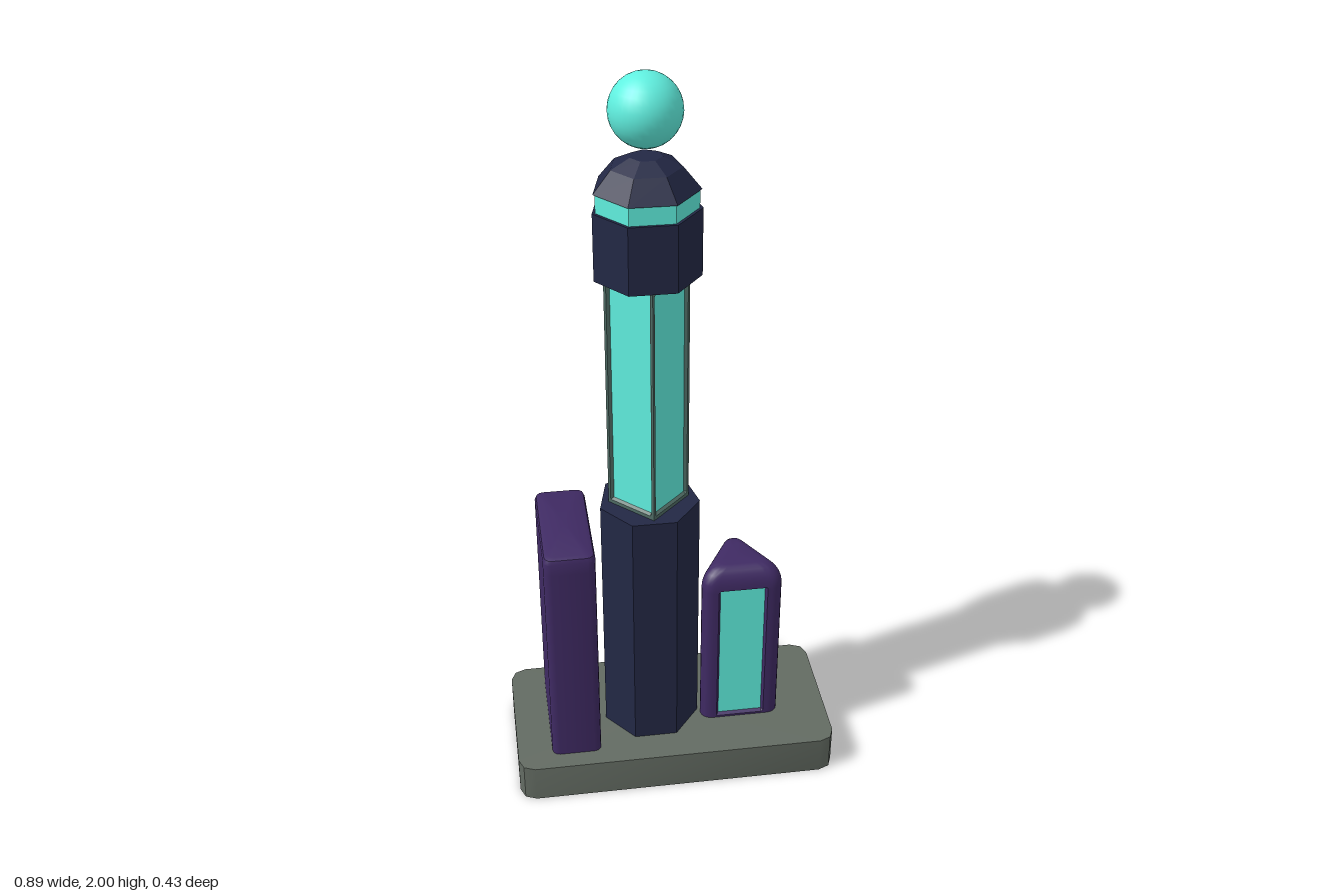
import * as THREE from 'three';
import { toCreasedNormals } from 'three/addons/utils/BufferGeometryUtils.js';

const material = (color, flatShading = false) => new THREE.MeshStandardMaterial({ color, flatShading });
const stone = material(0x636b62);
const frame = material(0x4f6b64);
const navy = material(0x232845, true);
const purple = material(0x3f2a63);
const glow = material(0x60f0e0);

const SLOPE = 0.006; // width of the sloped rim round each window

// Outline of a prism. Each face has an outward angle, a distance a, a half length h
// and a window half width p (0 = plain); d is how deep the window is sunk.
function outline(faces, r, segments, d) {
  const pts = [];
  faces.forEach(({ angle, a, h, p }, i) => {
    const at = (u, v) => new THREE.Vector2(
      Math.sin(angle) * v + Math.cos(angle) * u,
      Math.cos(angle) * v - Math.sin(angle) * u);
    pts.push(at(-h, a));
    if (p) pts.push(at(-p - SLOPE, a), at(-p, a - d), at(p, a - d), at(p + SLOPE, a));
    pts.push(at(h, a));
    const next = faces[(i + 1) % faces.length].angle + (i + 1 === faces.length ? Math.PI * 2 : 0);
    for (let k = 1; r > 0 && k < segments; k++) {
      const t = (next - angle) * k / segments;
      pts.push(at(h + r * Math.sin(t), a - r + r * Math.cos(t)));
    }
  });
  return pts;
}

// Skin through rings [y, window depth, x scale, z scale], closed at both ends.
function loft(faces, r, segments, rings) {
  const pos = [];
  const loops = rings.map(([y, d, sx = 1, sz = sx]) =>
    outline(faces, r, segments, d).map(p => new THREE.Vector3(p.x * sx, y, p.y * sz)));
  const tri = (...corners) => corners.forEach(c => pos.push(c.x, c.y, c.z));
  const n = loops[0].length;
  const bottom = new THREE.Vector3(0, rings[0][0], 0);
  const top = new THREE.Vector3(0, rings.at(-1)[0], 0);
  for (let i = 0; i < n; i++) {
    const j = (i + 1) % n;
    for (let k = 0; k + 1 < loops.length; k++) {
      const lo = loops[k], hi = loops[k + 1];
      tri(lo[i], lo[j], hi[j]);
      tri(lo[i], hi[j], hi[i]);
    }
    tri(bottom, loops[0][j], loops[0][i]);
    tri(top, loops.at(-1)[i], loops.at(-1)[j]);
  }
  const geo = new THREE.BufferGeometry();
  geo.setAttribute('position', new THREE.Float32BufferAttribute(pos, 3));
  return toCreasedNormals(geo, 0.6);
}

function add(parent, name, geometry, mat, x = 0, y = 0, z = 0) {
  const mesh = new THREE.Mesh(geometry, mat);
  mesh.name = name;
  mesh.position.set(x, y, z);
  parent.add(mesh);
  return mesh;
}

// Glowing panes lying in the sunk windows
function addPanes(parent, name, faces, d, y0, y1) {
  for (const { angle, a, p } of faces) {
    if (!p) continue;
    const v = a - d + 0.001;
    const pane = add(parent, name, new THREE.PlaneGeometry(2 * p, y1 - y0), glow,
      Math.sin(angle) * v, (y0 + y1) / 2, Math.cos(angle) * v);
    pane.rotation.y = angle;
  }
}

// Rings of a straight body whose windows run from y0 to y1
const windowRings = (bottom, y0, y1, d) =>
  [[bottom, 0], [y0 - SLOPE, 0], [y0, d], [y1, d], [y1 + SLOPE, 0]];

// Four faces of a box, front first; only the back may carry a window
const boxFaces = (hx, hz, r, backWindow = 0) => [0, 1, 2, 3].map(i => ({
  angle: i * Math.PI / 2,
  a: i % 2 ? hx : hz,
  h: (i % 2 ? hz : hx) - r,
  p: i === 2 ? backWindow : 0,
}));

function group(parent, name, x, z) {
  const g = new THREE.Group();
  g.name = name;
  g.position.set(x, 0, z);
  parent.add(g);
  return g;
}

export function createModel() {
  const model = new THREE.Group();
  model.name = 'towerBlock';

  // Base slab with softened corners
  add(model, 'base', loft(boxFaces(0.447, 0.214, 0.043), 0.043, 2, [[0, 0], [0.11, 0]]), stone);

  // Seven-sided tower
  const tower = group(model, 'tower', -0.054, 0);
  const heptagon = (name, rTop, rBottom, y0, y1, mat) => add(tower, name,
    new THREE.CylinderGeometry(rTop, rBottom, y1 - y0, 7, 1, false, Math.PI), mat, 0, (y0 + y1) / 2, 0);
  heptagon('towerShaft', 0.136, 0.136, 0.11, 0.84, navy);
  heptagon('towerHead', 0.136, 0.136, 1.5, 1.675, navy);
  heptagon('lightBand', 0.128, 0.128, 1.675, 1.725, material(0x60f0e0, true));
  heptagon('domeLower', 0.088, 0.133, 1.722, 1.776, navy);
  heptagon('domeUpper', 0.04, 0.088, 1.776, 1.8, navy);

  // Square glazed column, set cornerwise
  const columnFaces = [1, 3, 5, 7].map(k => ({ angle: k * Math.PI / 4, a: 0.0757, h: 0.0757, p: 0.062 }));
  add(tower, 'columnFrame', loft(columnFaces, 0, 1,
    [...windowRings(0.84, 0.856, 1.484, 0.008), [1.5, 0]]), frame);
  addPanes(tower, 'columnPane', columnFaces, 0.008, 0.856, 1.484);

  // Floating ball
  add(tower, 'ball', new THREE.SphereGeometry(0.089, 32, 16), glow, 0, 1.911, 0);

  // Tall slab building with one window at the back
  const slab = group(model, 'slabBuilding', -0.2815, -0.002);
  const slabFaces = boxFaces(0.0685, 0.165, 0.02, 0.042);
  add(slab, 'slabBody', loft(slabFaces, 0.02, 3, [
    ...windowRings(0.11, 0.122, 0.725, 0.01),
    [0.765, 0], [0.776, 0, 0.94, 0.975], [0.78, 0, 0.8, 0.91],
  ]), purple);
  addPanes(slab, 'slabPane', slabFaces, 0.01, 0.122, 0.725);

  // Three-sided building with a rounded roof and a window on each face
  const prism = group(model, 'triangleBuilding', 0.196, -0.002);
  const prismFaces = [0, 1, 2].map(k => ({ angle: k * Math.PI * 2 / 3, a: 0.077, h: 0.081, p: 0.062 }));
  const roof = [];
  for (let i = 1; i <= 6; i++) {
    const t = i / 6 * Math.PI / 2;
    roof.push([0.565 + 0.06 * Math.sin(t), 0, 1 - 0.5 * (1 - Math.cos(t))]);
  }
  add(prism, 'triangleBody', loft(prismFaces, 0.03, 6,
    [...windowRings(0.11, 0.122, 0.557, 0.01), ...roof]), purple);
  addPanes(prism, 'trianglePane', prismFaces, 0.01, 0.122, 0.557);

  return model;
}
